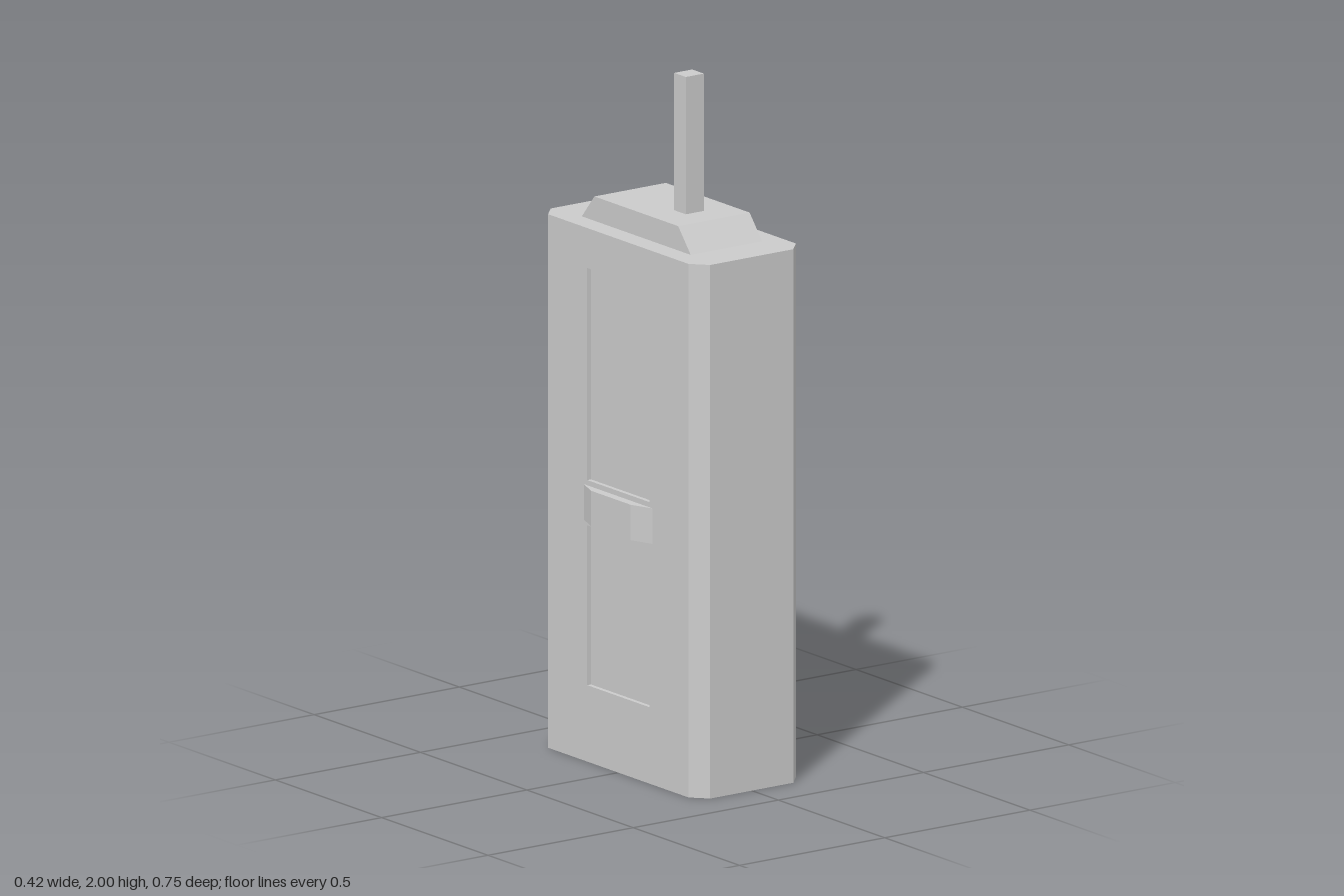
import * as THREE from 'three';

const W = 0.185, D = 0.375, H = 1.535; // body half width, half depth, height
const CX = 0.143, CZ = 0.33;           // where the corner chamfers begin
const PANEL = 0.146, RECESS = 0.013;   // panel half width and depth

const material = new THREE.MeshStandardMaterial({
  color: 0xcccccc, flatShading: true, side: THREE.DoubleSide,
});

function add(parent, name, geometry) {
  const mesh = new THREE.Mesh(geometry, material);
  mesh.name = name;
  parent.add(mesh);
  return mesh;
}

// Flat quads joining two matching closed loops, leaving out the listed edges
function loft(a, b, skip = []) {
  const pos = [];
  a.forEach((p, i) => {
    if (skip.includes(i)) return;
    const j = (i + 1) % a.length;
    pos.push(...p, ...a[j], ...b[j], ...p, ...b[j], ...b[i]);
  });
  const g = new THREE.BufferGeometry();
  g.setAttribute('position', new THREE.Float32BufferAttribute(pos, 3));
  g.computeVertexNormals();
  return g;
}

// Outline in (x, z) extruded upwards from y0 to y1
function prism(points, y0, y1) {
  const shape = new THREE.Shape(points.map(([x, z]) => new THREE.Vector2(x, -z)));
  return new THREE.ExtrudeGeometry(shape, { depth: y1 - y0, bevelEnabled: false })
    .rotateX(-Math.PI / 2).translate(0, y0, 0);
}

const rect = (w, y0, y1) => [[-w, y0], [w, y0], [w, y1], [-w, y1]];

// One broad wall with two sunken panels and a raised band, built facing +z
function createSide(name) {
  const side = new THREE.Group();
  side.name = name;
  const wall = new THREE.Shape(rect(CZ, 0, H).map(p => new THREE.Vector2(...p)));
  for (const [label, y0, y1] of [['lowerPanel', 0.22, 0.68], ['upperPanel', 0.81, 1.42]]) {
    const r = rect(PANEL, y0, y1);
    wall.holes.push(new THREE.Path([...r].reverse().map(p => new THREE.Vector2(...p))));
    add(side, label + 'Rim', loft(r.map(p => [...p, 0]), r.map(p => [...p, -RECESS])));
    add(side, label, new THREE.PlaneGeometry(2 * PANEL, y1 - y0))
      .position.set(0, (y0 + y1) / 2, -RECESS);
  }
  add(side, 'sideWall', new THREE.ShapeGeometry(wall));
  add(side, 'band', prism([[-0.162, 0], [-0.093, 0.026], [0.093, 0.026], [0.162, 0]], 0.693, 0.795));
  return side;
}

export function createModel() {
  const model = new THREE.Group();
  model.name = 'handheldRadio';

  // Chamfered shell, open underneath; edges 1 and 5 are the panelled sides
  const outline = [[CX, D], [W, CZ], [W, -CZ], [CX, -D], [-CX, -D], [-W, -CZ], [-W, CZ], [-CX, D]];
  const ring = y => outline.map(([x, z]) => [x, y, z]);
  add(model, 'bodyShell', loft(ring(0), ring(H), [1, 5]));
  const lid = new THREE.Shape(outline.map(([x, z]) => new THREE.Vector2(x, -z)));
  add(model, 'bodyTop', new THREE.ShapeGeometry(lid).rotateX(-Math.PI / 2).translate(0, H, 0));

  for (const s of [1, -1]) {
    const side = createSide(s > 0 ? 'leftSide' : 'rightSide');
    side.rotation.y = s * Math.PI / 2;
    side.position.x = s * W;
    model.add(side);
  }

  // Sloped cap: trapezoid profile along z, extruded across x
  const cap = new THREE.Shape([[-0.256, H], [0.256, H], [0.197, 1.605], [-0.197, 1.605]]
    .map(p => new THREE.Vector2(...p)));
  add(model, 'topCap', new THREE.ExtrudeGeometry(cap, { depth: 0.246, bevelEnabled: false })
    .translate(0, 0, -0.123).rotateY(Math.PI / 2));

  add(model, 'antenna', new THREE.BoxGeometry(0.062, 0.395, 0.055))
    .position.set(0, 1.8025, 0.08);

  return model;
}
